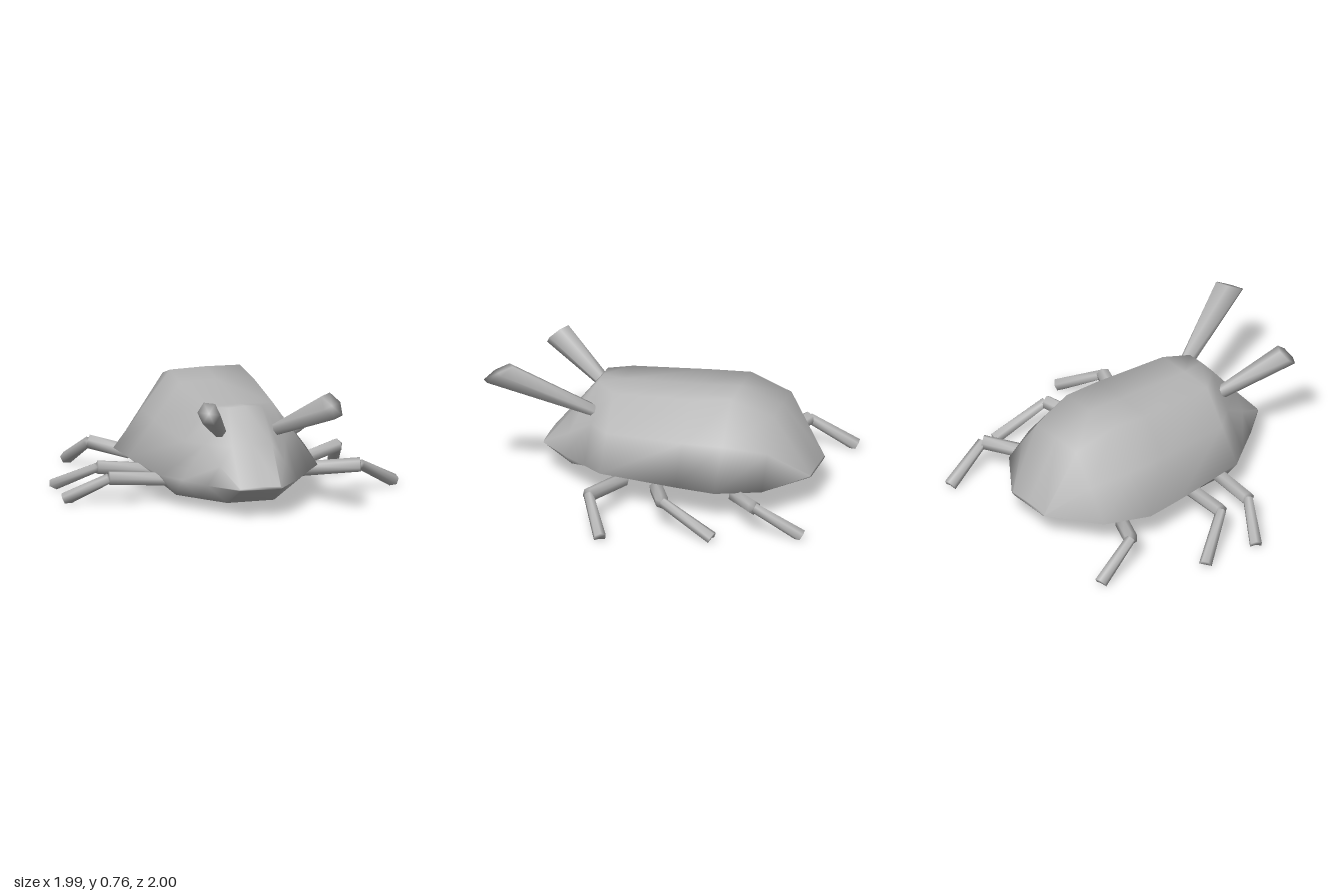
import * as THREE from 'three';
import { mergeVertices } from 'three/addons/utils/BufferGeometryUtils.js';

const shellGrey = new THREE.MeshStandardMaterial({ color: 0xb6b6b6 });
shellGrey.name = 'shellGrey';

function part(name, geometry) {
  geometry.computeVertexNormals();
  const mesh = new THREE.Mesh(geometry, shellGrey);
  mesh.name = name;
  return mesh;
}

// Skin a row of cross-sections and close both ends.
function loft(rings) {
  const n = rings[0].length;
  const idx = [];
  for (let r = 0; r < rings.length - 1; r++) {
    for (let i = 0; i < n; i++) {
      const a = r * n + i, b = r * n + (i + 1) % n;
      idx.push(a, b, a + n, b, b + n, a + n);
    }
  }
  const last = (rings.length - 1) * n;
  for (let i = 1; i < n - 1; i++) {
    idx.push(0, i + 1, i, last, last + i, last + i + 1);
  }
  const g = new THREE.BufferGeometry();
  g.setAttribute('position', new THREE.Float32BufferAttribute(rings.flat(2), 3));
  g.setIndex(idx);
  return g;
}

// Beetle section, from the belly over the left rim and back to the right rim.
function section([z, rim, rimY, top, topY, bellyL, bellyR, bellyY]) {
  const midX = (rim + top) / 2, midY = (rimY + topY) / 2;
  return [
    [bellyR, bellyY, z], [rim, rimY, z], [midX, midY, z], [top, topY, z],
    [0, topY + 0.005, z],
    [-top, topY, z], [-midX, midY, z], [-rim, rimY, z], [-bellyL, bellyY, z],
  ];
}

// Tapered, softly shaded limb between two points, with an optional slanted end.
function limb(name, from, to, r0, r1, slant = 0) {
  const a = new THREE.Vector3(...from), b = new THREE.Vector3(...to);
  const dir = b.clone().sub(a);
  const axis = dir.clone().normalize();
  let g = new THREE.CylinderGeometry(r1, r0, dir.length(), 6, 1);
  g.deleteAttribute('normal');
  g.deleteAttribute('uv');
  g = mergeVertices(g);
  g.applyQuaternion(new THREE.Quaternion().setFromUnitVectors(new THREE.Vector3(0, 1, 0), axis));
  const mid = a.clone().add(b).multiplyScalar(0.5);
  g.translate(mid.x, mid.y, mid.z);
  const p = g.attributes.position, v = new THREE.Vector3();
  for (let i = 0; i < p.count; i++) {
    v.fromBufferAttribute(p, i);
    if (v.distanceTo(b) < r1 * 1.1) v.z -= slant * (v.y - b.y);
    // Feet are cut flat where they meet the ground
    if (v.y < 0) v.addScaledVector(axis, -v.y / axis.y);
    p.setXYZ(i, v.x, v.y, v.z);
  }
  return part(name, g);
}

export function createModel() {
  const model = new THREE.Group();
  model.name = 'beetle';

  // z, rim half width, rim y, back half width, back y, belly left, belly right, belly y
  const sections = [
    [-0.90, 0.15, 0.18, 0.14, 0.19, 0.13, 0.13, 0.175],
    [-0.69, 0.43, 0.18, 0.18, 0.55, 0.30, 0.20, 0.13],
    [-0.44, 0.55, 0.19, 0.21, 0.63, 0.38, 0.20, 0.10],
    [-0.20, 0.53, 0.19, 0.22, 0.61, 0.40, 0.18, 0.08],
    [0.27, 0.47, 0.19, 0.20, 0.58, 0.38, 0.15, 0.07],
    [0.39, 0.38, 0.185, 0.10, 0.595, 0.28, 0.14, 0.07],
    [0.54, 0.27, 0.18, 0.12, 0.40, 0.15, 0.13, 0.07],
    [0.71, 0.13, 0.18, 0.12, 0.19, 0.12, 0.12, 0.175],
  ];
  model.add(part('body', loft(sections.map(section))));

  // Legs: hip, knee, foot
  const legs = {
    leftFrontLeg: [[0.40, 0.14, 0.15], [0.73, 0.17, 0.26], [0.97, 0.025, 0.12]],
    leftMiddleLeg: [[0.44, 0.13, -0.06], [0.72, 0.18, -0.18], [0.79, 0.025, -0.50]],
    leftRearLeg: [[0.43, 0.14, -0.53], [0.645, 0.18, -0.71], [0.605, 0.02, -0.985]],
    rightFrontLeg: [[-0.37, 0.14, 0.17], [-0.74, 0.16, 0.13], [-0.97, 0.02, 0.0]],
    rightMiddleLeg: [[-0.38, 0.14, -0.05], [-0.75, 0.175, -0.08], [-0.935, 0.02, -0.35]],
    rightRearLeg: [[-0.42, 0.13, -0.55], [-0.635, 0.18, -0.66], [-0.69, 0.02, -0.93]],
  };
  for (const [name, [hip, knee, foot]] of Object.entries(legs)) {
    const leg = new THREE.Group();
    leg.name = name;
    leg.add(limb('upperLeg', hip, knee, 0.042, 0.042), limb('lowerLeg', knee, foot, 0.03, 0.038));
    model.add(leg);
  }

  // Flared antennae with slanted tips
  model.add(limb('leftAntenna', [0.175, 0.445, 0.39], [0.37, 0.70, 0.91], 0.036, 0.068, 1.0));
  model.add(limb('rightAntenna', [-0.145, 0.45, 0.39], [-0.325, 0.665, 0.76], 0.036, 0.068, 0.4));
  return model;
}
